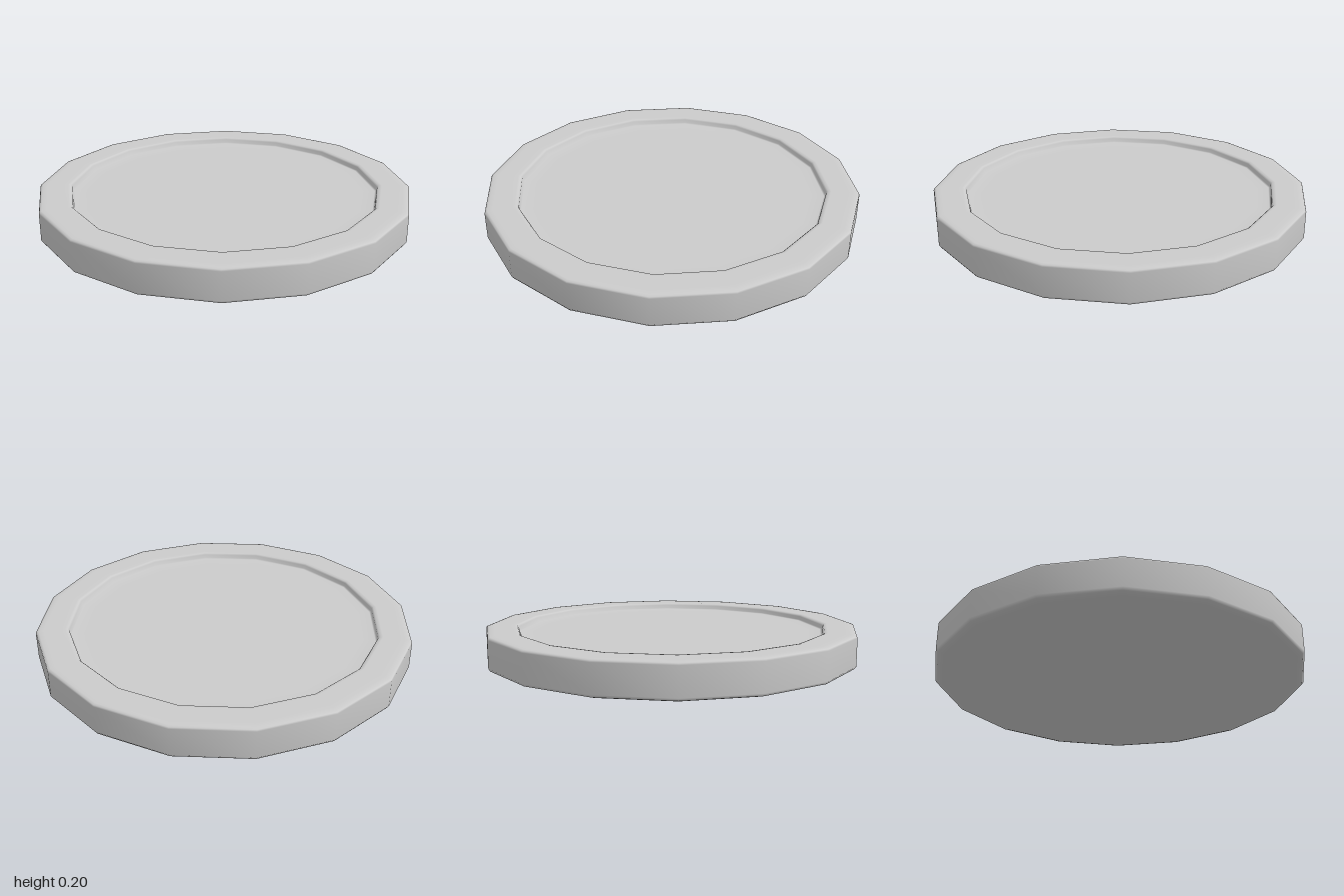
import * as THREE from 'three';

const SIDES = 16;

// Revolve a [radius, height] profile into a smooth-shaded sixteen-sided solid.
function revolve(name, profile) {
  const points = profile.map(([r, y]) => new THREE.Vector2(r, y));
  const mesh = new THREE.Mesh(
    new THREE.LatheGeometry(points, SIDES),
    new THREE.MeshStandardMaterial({ color: 0xcccccc })
  );
  mesh.name = name;
  return mesh;
}

export function createModel() {
  const group = new THREE.Group();
  group.name = 'shallowDish';

  // Body: flat underside, bevelled lower edge, outer wall, raised rim
  // and a shallow recessed floor.
  group.add(revolve('dishBody', [
    [0, 0], [0.74, 0], [0.88, 0.006], [0.96, 0.017], [0.99, 0.026], [1, 0.04],
    [1, 0.185], [0.997, 0.194], [0.985, 0.198], [0.96, 0.2],
    [0.85, 0.2], [0.834, 0.198], [0.826, 0.19],
    [0.824, 0.172], [0.815, 0.167], [0.74, 0.165], [0, 0.165],
  ]));

  return group;
}
